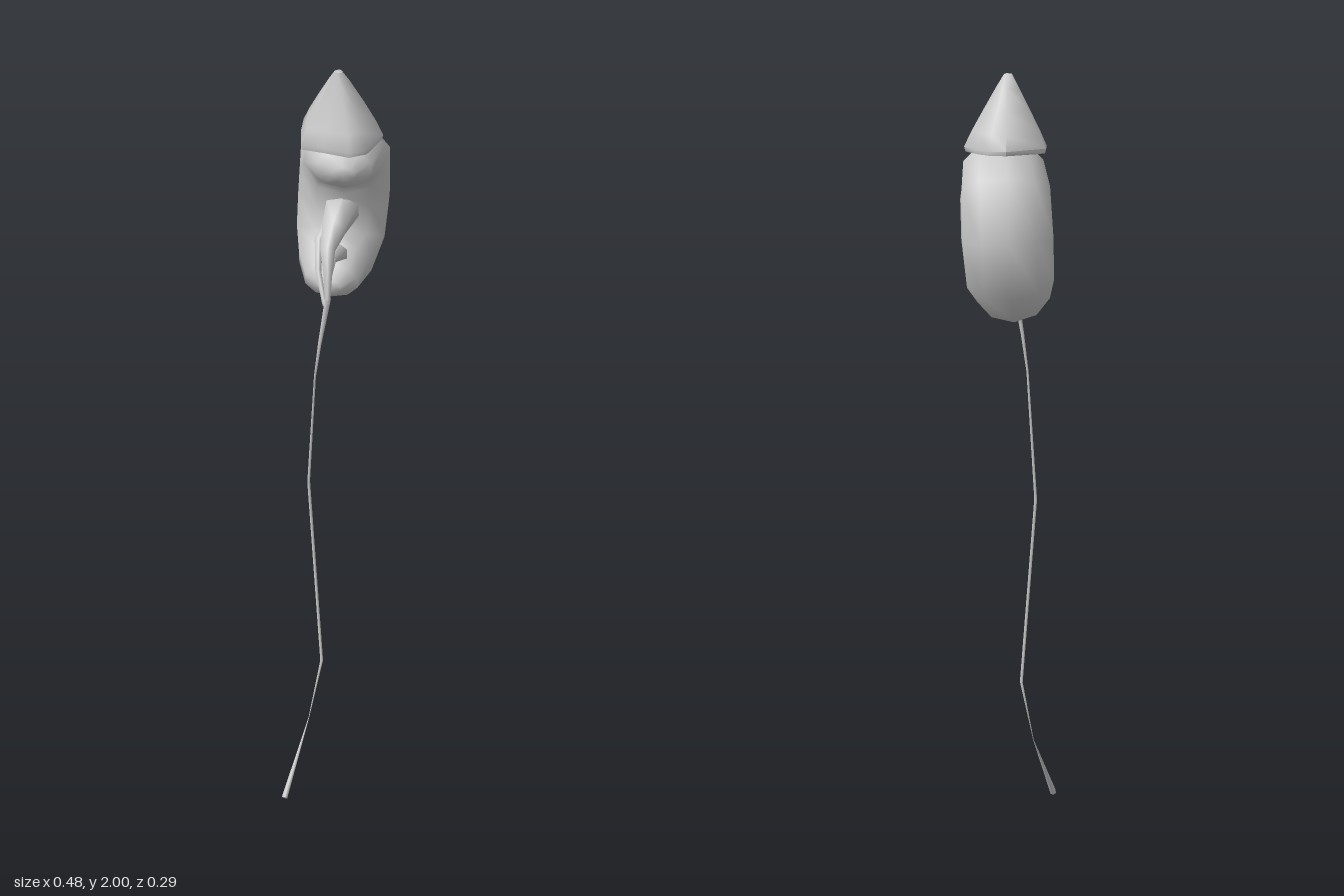
import * as THREE from 'three';
import { toCreasedNormals } from 'three/addons/utils/BufferGeometryUtils.js';

const material = new THREE.MeshStandardMaterial({ color: 0xcccccc, side: THREE.DoubleSide });

// Skin a list of equal-sized rings and close both ends with fans.
function loft(rings, crease) {
  const n = rings[0].length, last = (rings.length - 1) * n, points = rings.flat(), index = [];
  for (let i = 0; i < rings.length - 1; i++) {
    for (let j = 0; j < n; j++) {
      const a = i * n + j, b = i * n + (j + 1) % n;
      index.push(a, b, a + n, b, b + n, a + n);
    }
  }
  const centre = ring => ring.reduce((s, p) => s.add(p), new THREE.Vector3()).divideScalar(n);
  const first = points.length;
  points.push(centre(rings[0]), centre(rings[rings.length - 1]));
  for (let j = 0; j < n; j++) {
    const k = (j + 1) % n;
    index.push(first, k, j, first + 1, last + j, last + k);
  }
  const geometry = new THREE.BufferGeometry().setFromPoints(points);
  geometry.setIndex(index);
  geometry.computeVertexNormals();
  return crease ? toCreasedNormals(geometry, crease) : geometry;
}

// Sweep an ellipse along rows of [x, y, z, half size in the bend, half size along side].
function sweep(rows, sides, side) {
  const centres = rows.map(r => new THREE.Vector3(r[0], r[1], r[2]));
  return loft(rows.map((row, i) => {
    const tangent = centres[Math.min(i + 1, rows.length - 1)].clone().sub(centres[Math.max(i - 1, 0)]).normalize();
    const a = side.clone().cross(tangent).normalize();
    const b = tangent.clone().cross(a);
    return Array.from({ length: sides }, (_, j) => {
      const t = j / sides * Math.PI * 2;
      return centres[i].clone().addScaledVector(a, row[3] * Math.cos(t)).addScaledVector(b, row[4] * Math.sin(t));
    });
  }));
}

export function createModel() {
  const model = new THREE.Group();
  const add = (name, geometry) => {
    const mesh = new THREE.Mesh(geometry, material);
    mesh.name = name;
    model.add(mesh);
    return mesh;
  };

  // Bean-shaped body, bent in its own plane and then turned
  const kidney = add('kidney', sweep([
    [-0.083, 1.735, 0.075, 0.025, 0.03],
    [-0.055, 1.74, 0.075, 0.06, 0.075],
    [0.015, 1.75, 0.075, 0.088, 0.11],
    [0.088, 1.705, 0.074, 0.112, 0.122],
    [0.12, 1.59, 0.07, 0.102, 0.125],
    [0.098, 1.485, 0.062, 0.103, 0.12],
    [0.035, 1.43, 0.05, 0.088, 0.1],
    [-0.035, 1.405, 0.043, 0.055, 0.072],
    [-0.068, 1.4, 0.04, 0.022, 0.03],
  ], 10, new THREE.Vector3(0, 0, 1)));
  kidney.rotation.y = Math.PI / 4;

  // Pointed gland on top, with a drooping hollow rim
  const rim = [[-0.06, 0.01], [-0.03, 0.06], [0.005, 0.125], [0.05, 0.145], [0.13, 0.12],
    [0.155, 0.06], [0.17, 0], [0.15, -0.045], [0.03, -0.078], [-0.015, -0.04]];
  const glandRing = (scale, h) => rim.map(([x, z]) => {
    const base = 1.81 + 0.085 * (x - z);
    const cx = 0.055 + (0.035 - 0.055) * h, cz = 0.035 + (0.05 - 0.035) * h;
    return new THREE.Vector3(cx + (x - cx) * scale, base + (2 - base) * h, cz + (z - cz) * scale);
  });
  add('adrenalGland', loft([
    glandRing(0.4, 0.1), glandRing(0.85, -0.09), glandRing(0.97, -0.07), glandRing(1, 0),
    glandRing(0.83, 0.22), glandRing(0.56, 0.52), glandRing(0.28, 0.82), glandRing(0.1, 1),
  ], 1));

  const across = new THREE.Vector3(1, 0, 1).normalize();

  // Funnel leaving the hollow of the body, and its lower branch
  add('renalPelvis', sweep([
    [0.07, 1.59, 0.03, 0.045, 0.05],
    [0.01, 1.56, 0.06, 0.036, 0.035],
    [-0.035, 1.52, 0.085, 0.024, 0.022],
    [-0.058, 1.45, 0.11, 0.014, 0.012],
    [-0.07, 1.39, 0.122, 0.01, 0.008],
  ], 6, across));
  add('lowerBranch', sweep([
    [0.03, 1.48, 0.06, 0.025, 0.025],
    [-0.015, 1.485, 0.075, 0.018, 0.016],
    [-0.045, 1.455, 0.1, 0.012, 0.01],
    [-0.063, 1.41, 0.115, 0.007, 0.006],
  ], 6, across));
  add('upperBranch', sweep([
    [0.04, 1.55, 0.02, 0.022, 0.02],
    [-0.02, 1.525, 0.035, 0.015, 0.013],
    [-0.055, 1.46, 0.07, 0.011, 0.009],
    [-0.072, 1.38, 0.113, 0.007, 0.006],
  ], 6, across));

  // Long flattened duct, pinched near the foot
  add('ureter', sweep([
    [-0.068, 1.4, 0.121, 0.012, 0.009],
    [-0.084, 1.27, 0.107, 0.01, 0.005],
    [-0.085, 1.17, 0.09, 0.01, 0.003],
    [-0.062, 0.84, 0.041, 0.009, 0.004],
    [-0.064, 0.34, 0.093, 0.008, 0.004],
    [-0.095, 0.18, 0.078, 0.001, 0.001],
    [-0.228, 0.008, 0.128, 0.01, 0.008],
  ], 6, across));

  return model;
}
